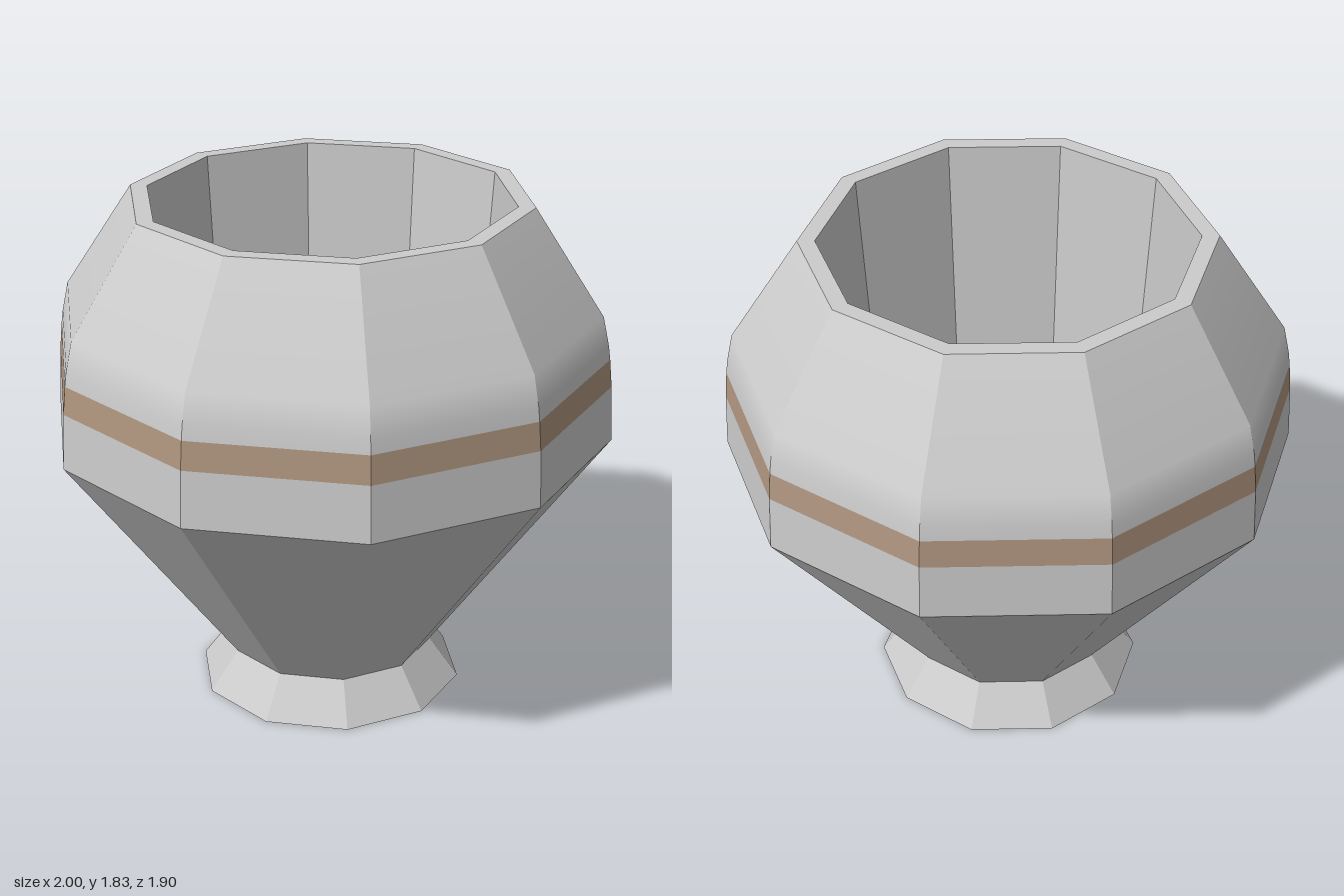
import * as THREE from 'three';

const SIDES = 10;
const START = Math.PI / 2; // a corner points along +x
const STEP = (Math.PI * 2) / SIDES;

// Ten-sided ring built from a [radius, height] profile.
// Each side stays flat around the axis; smooth rounds it along the profile.
function ring(name, profile, material, smooth = false) {
  const points = profile.map(([r, y]) => new THREE.Vector2(r, y));
  const geometry = new THREE.LatheGeometry(points, SIDES, START).toNonIndexed();
  if (smooth) {
    const normals = geometry.attributes.normal;
    const perSide = 6 * (points.length - 1);
    for (let i = 0; i < normals.count; i++) {
      const angle = START + (Math.floor(i / perSide) + 0.5) * STEP;
      const out = Math.hypot(normals.getX(i), normals.getZ(i));
      normals.setXYZ(i, Math.sin(angle) * out, normals.getY(i), Math.cos(angle) * out);
    }
  } else {
    geometry.computeVertexNormals();
  }
  const mesh = new THREE.Mesh(geometry, material);
  mesh.name = name;
  return mesh;
}

export function createModel() {
  const grey = new THREE.MeshStandardMaterial({ color: 0xcccccc });
  const tan = new THREE.MeshStandardMaterial({ color: 0xaf957f });

  const pot = new THREE.Group();
  pot.name = 'pot';
  pot.add(
    // Flared foot with a closed underside
    ring('foot', [[0, 0], [0.48, 0], [0.375, 0.145]], grey),
    // Tapered lower body
    ring('lowerBody', [[0.375, 0.145], [1, 1]], grey),
    // Belly below, on and above the coloured stripe
    ring('belly', [[1, 1], [0.99, 1.2]], grey),
    ring('stripe', [[0.99, 1.2], [0.98, 1.3]], tan),
    ring('shoulder', [[0.98, 1.3], [0.973, 1.35], [0.95, 1.455], [0.705, 1.83]], grey, true),
    // Flat rim, inner wall and floor of the opening
    ring('rim', [[0.705, 1.83], [0.645, 1.83]], grey),
    ring('innerWall', [[0.645, 1.83], [0.585, 0.95]], grey),
    ring('innerFloor', [[0.585, 0.95], [0, 0.95]], grey),
  );
  return pot;
}
